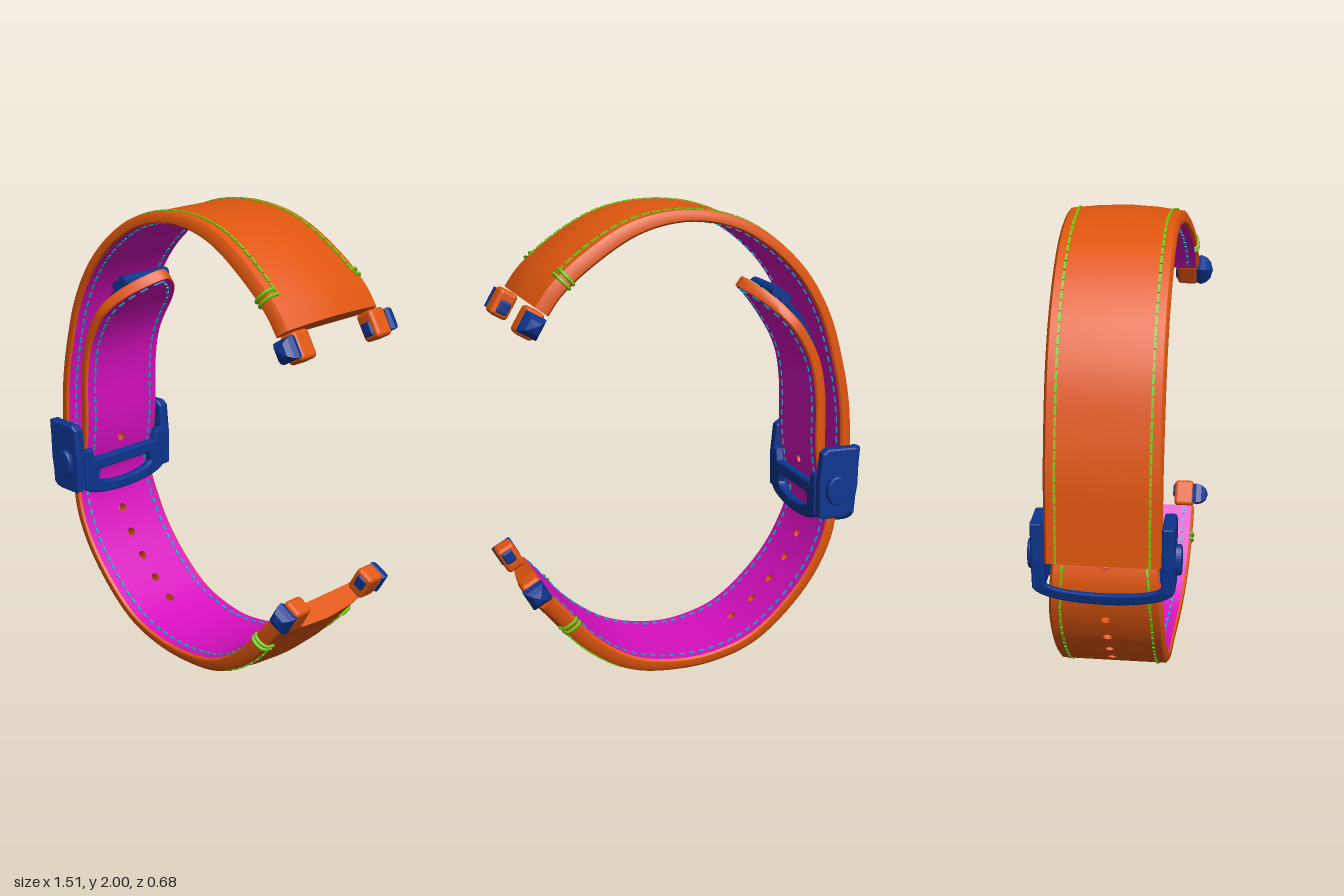
import * as THREE from 'three';
import { mergeGeometries, toCreasedNormals } from 'three/addons/utils/BufferGeometryUtils.js';
import { RoundedBoxGeometry } from 'three/addons/geometries/RoundedBoxGeometry.js';

const mat = (color, extra = {}) => new THREE.MeshStandardMaterial({ color, side: THREE.DoubleSide, ...extra });
const leather = mat(0xe0560e), lining = mat(0xd80fc0), metal = mat(0x0c3590);
const metalFlat = mat(0x0c3590, { flatShading: true }), outerThread = mat(0x74c80c), innerThread = mat(0x12a8c8);

const smooth = THREE.MathUtils.smoothstep;
const HOLE = 0.02;

function add(group, name, geometry, material) {
  const mesh = new THREE.Mesh(geometry, material);
  mesh.name = name;
  group.add(mesh);
  return mesh;
}

function makeCurve(points) {
  return new THREE.CatmullRomCurve3(points.map(([x, y]) => new THREE.Vector3(x, y, 0)), false, 'centripetal');
}

// A padded band that follows its inner line; the thickness grows outward
function makeStrap(name, points, { pointed = false, holes = [] }) {
  const group = new THREE.Group();
  group.name = name;
  const curve = makeCurve(points);
  const length = curve.getLength();

  const halfWidth = (u) => {
    const p = curve.getPointAt(u);
    let w = 0.235 + 0.043 * smooth(p.x, -0.05, 0.62);
    if (pointed) {
      const s = u * length;
      w -= 0.022 * (1 - smooth(s, 0.9, 1.3));
      if (s < 0.27) w *= 0.1 + 0.9 * (1 - Math.pow(1 - s / 0.27, 1.9));
    }
    return w;
  };
  // z is across the band, level 0 is the lining and 1 the outer face
  const at = (u, z, level, lift = 0) => {
    u = Math.min(1, Math.max(0, u));
    const p = curve.getPointAt(u), t = curve.getTangentAt(u), w = halfWidth(u);
    const pad = smooth(p.x, -0.05, 0.4);
    const h = 0.047 + 0.015 * pad + 0.033 * pad * Math.max(0, 1 - (z / w) ** 2);
    const d = level * h + lift;
    return new THREE.Vector3(p.x + t.y * d, p.y - t.x * d, z);
  };

  // Columns along the band, with three special ones at each hole
  const r = HOLE / length;
  const cols = [];
  for (let i = 0; i <= 100; i++) {
    if (!holes.some((c) => Math.abs(c - i / 100) < r * 1.3)) cols.push({ u: i / 100 });
  }
  for (const c of holes) for (const d of [-1, 0, 1]) cols.push({ u: c + d * r, c, d });
  cols.sort((a, b) => a.u - b.u);

  const sheet = (rows, capped) => {
    const pos = [], index = [], n = rows.length;
    for (const col of cols) {
      for (const [v, level] of rows) {
        let u = col.u, z = v * halfWidth(u);
        if (Math.abs(v) === 0.1) {
          z = Math.sign(v) * Math.min(HOLE, 0.3 * halfWidth(u));
          if (col.d) { u = col.c + col.d * r * 0.707; z *= 0.707; }
        }
        pos.push(...at(u, z, level).toArray());
      }
    }
    for (let i = 0; i < cols.length - 1; i++) {
      const open = cols[i].c !== undefined && cols[i].c === cols[i + 1].c;
      for (let k = 0; k < n - 1; k++) {
        if (open && Math.abs(rows[k][0] + rows[k + 1][0]) < 0.15) continue;
        const a = i * n + k, b = a + 1, c = a + n, d = c + 1;
        if (capped) index.push(a, c, b, b, c, d);
        else index.push(a, b, c, b, d, c);
      }
    }
    if (capped) for (const o of [0, (cols.length - 1) * n]) {
      for (let k = 0; k < (n - 1) / 2; k++) {
        const a = o + k, b = o + k + 1, c = o + n - 2 - k, d = o + n - 1 - k;
        index.push(a, b, c, a, c, d);
      }
    }
    const g = new THREE.BufferGeometry();
    g.setAttribute('position', new THREE.Float32BufferAttribute(pos, 3));
    g.setIndex(index);
    return toCreasedNormals(g, 0.7);
  };
  const half = [[-0.96, 0], [-1, 0.15], [-1, 0.7], [-0.95, 1], [-0.5, 1], [-0.1, 1]];
  const mirrored = half.map(([v, l]) => [-v, l]).reverse();
  add(group, 'leather', sheet([...half, [0, 1], ...mirrored], true), leather);
  add(group, 'lining', sheet([-0.96, -0.5, -0.1, 0, 0.1, 0.5, 0.96].map((v) => [v, 0]), false), lining);

  // Walls of the punched holes
  for (const c of holes) {
    const a = at(c, 0, 0), b = at(c, 0, 1);
    const wall = add(group, 'holeWall', new THREE.CylinderGeometry(HOLE, HOLE, a.distanceTo(b), 8, 1, true), leather);
    wall.position.copy(a).lerp(b, 0.5);
    wall.quaternion.setFromUnitVectors(new THREE.Vector3(0, 1, 0), b.sub(a).normalize());
  }

  // Rows of stitches along both edges
  const lugAtStart = !pointed;
  const stitches = (label, level, dash, pitch, from, to, material) => {
    const parts = [], dummy = new THREE.Object3D();
    for (let s = from; s + dash < to; s += pitch) for (const side of [-1, 1]) {
      const u0 = s / length, u1 = (s + dash) / length;
      const edge = (u) => side * Math.max(0, halfWidth(u) - 0.047);
      const a = at(u0, edge(u0), level), b = at(u1, edge(u1), level);
      dummy.position.copy(a).lerp(b, 0.5);
      dummy.lookAt(b);
      dummy.updateMatrix();
      parts.push(new THREE.BoxGeometry(0.01, 0.01, a.distanceTo(b)).applyMatrix4(dummy.matrix));
    }
    add(group, label, mergeGeometries(parts), material);
  };
  const lugGap = 0.15;
  stitches('outerStitches', 1, 0.035, 0.043, lugAtStart ? lugGap : 0.03, lugAtStart ? length : length - lugGap, outerThread);
  stitches('innerStitches', 0, 0.026, 0.046, 0.02, length - 0.01, innerThread);

  // Double stitch wrapped around each edge near the lugs
  for (const s of [lugGap - 0.012, lugGap + 0.012]) for (const side of [-1, 1]) {
    const u = lugAtStart ? s / length : 1 - s / length, w = halfWidth(u);
    const loop = [[w - 0.05, 1, 0.003], [w - 0.015, 1, 0.003], [w + 0.002, 0.7, 0], [w + 0.002, 0.1, 0], [w - 0.012, 0, -0.002]]
      .map(([z, l, lift]) => at(u, side * z, l, lift));
    add(group, 'edgeStitch', new THREE.TubeGeometry(new THREE.CatmullRomCurve3(loop), 12, 0.008, 6), outerThread);
  }
  return group;
}

// Hooked lugs with four-sided studs
function makeLugs(name, x, y, angle) {
  const group = new THREE.Group();
  group.name = name;
  group.position.set(x, y, 0);
  group.rotation.z = angle;
  const profile = [[0.058, 0], [0.066, 0.018], [0.057, 0.042], [0.036, 0.062], [0, 0.072]].map(([a, b]) => new THREE.Vector2(a, b));
  for (const side of [-1, 1]) {
    add(group, 'lug', new RoundedBoxGeometry(0.12, 0.085, 0.092, 3, 0.018), leather).position.z = side * 0.227;
    add(group, 'lugPin', new RoundedBoxGeometry(0.06, 0.05, 0.1, 2, 0.01), metal).position.set(0.012, -0.004, side * 0.223);
    const stud = new THREE.LatheGeometry(profile, 4).rotateY(Math.PI / 4).rotateX(side * Math.PI / 2);
    add(group, 'stud', stud, metalFlat).position.z = side * 0.268;
  }
  return group;
}

const polygon = (pts) => new THREE.Shape(pts.map(([a, b]) => new THREE.Vector2(a, b)));

function plate(shape, depth, bevel) {
  return new THREE.ExtrudeGeometry(shape, {
    depth: depth - 2 * bevel, bevelSize: bevel, bevelThickness: bevel, bevelOffset: -bevel, bevelSegments: 2, curveSegments: 16,
  }).translate(0, 0, bevel - depth / 2);
}

function makeBuckle() {
  const group = new THREE.Group();
  group.name = 'buckle';
  const cheek = polygon([[-0.752, 0.955], [-0.605, 0.955], [-0.578, 0.935], [-0.565, 0.8], [-0.567, 0.65], [-0.585, 0.64], [-0.69, 0.64], [-0.73, 0.68], [-0.747, 0.78]]);
  const barrel = (x, y, r, len) => {
    const m = add(group, 'crossPin', new THREE.CylinderGeometry(r, r, len, 16).rotateX(Math.PI / 2), metal);
    m.position.set(x, y, 0);
  };
  for (const side of [-1, 1]) {
    add(group, 'cheek', plate(cheek, 0.05, 0.01), metal).position.z = side * 0.261;
    const button = add(group, 'pushButton', plate(new THREE.Shape().absellipse(0, 0, 0.046, 0.066, 0, Math.PI * 2), 0.04, 0.009), metal);
    button.position.set(-0.64, 0.77, side * 0.29);
  }

  // Outer U-shaped frame, its foot curling inward
  const outer = polygon([[-0.285, 0.955], [-0.285, 0.66]]);
  outer.bezierCurveTo(-0.25, 0.555, 0.25, 0.555, 0.285, 0.66);
  outer.lineTo(0.285, 0.955);
  outer.lineTo(0.238, 0.955);
  outer.lineTo(0.232, 0.68);
  outer.bezierCurveTo(0.2, 0.62, -0.2, 0.62, -0.232, 0.68);
  outer.lineTo(-0.238, 0.955);
  const outerGeometry = plate(outer, 0.03, 0.008).rotateY(-Math.PI / 2).translate(-0.74, 0, 0);
  const p = outerGeometry.attributes.position;
  for (let i = 0; i < p.count; i++) p.setX(i, p.getX(i) + 0.05 * (Math.max(0, 0.82 - p.getY(i)) / 0.24) ** 2);
  outerGeometry.computeVertexNormals();
  add(group, 'outerFrame', outerGeometry, metal);

  // Inner frame with a slot
  const inner = polygon([[-0.24, 0.835], [-0.24, 0.65]]);
  inner.bezierCurveTo(-0.18, 0.585, 0.18, 0.585, 0.24, 0.65);
  for (const [a, b] of [[0.24, 0.835], [0.195, 0.835], [0.18, 0.785], [-0.18, 0.785], [-0.195, 0.835]]) inner.lineTo(a, b);
  const slot = new THREE.Path([[-0.16, 0.69], [-0.15, 0.728], [0.15, 0.728], [0.16, 0.69]].map((q) => new THREE.Vector2(...q)));
  slot.bezierCurveTo(0.13, 0.64, -0.13, 0.64, -0.16, 0.69);
  inner.holes.push(slot);
  add(group, 'innerFrame', plate(inner, 0.04, 0.01).rotateY(-Math.PI / 2).translate(-0.58, 0, 0), metal);
  barrel(-0.7, 0.79, 0.025, 0.5);

  // Folding blade between the two bands, with a rounded catch at its tip
  const curve = makeCurve([[-0.65, 0.8], [-0.637, 0.95], [-0.635, 1.15], [-0.6, 1.35], [-0.53, 1.5], [-0.44, 1.6]]);
  const front = [], back = [];
  for (let i = 0; i <= 32; i++) {
    const c = curve.getPointAt(i / 32), t = curve.getTangentAt(i / 32);
    front.push([c.x + t.y * 0.011, c.y - t.x * 0.011]);
    back.unshift([c.x - t.y * 0.011, c.y + t.x * 0.011]);
  }
  add(group, 'foldingBlade', plate(polygon([...front, ...back]), 0.24, 0.003), metal);
  barrel(-0.455, 1.595, 0.026, 0.26);
  barrel(-0.42, 1.622, 0.025, 0.26);
  return group;
}

export function createModel() {
  const model = new THREE.Group();
  model.name = 'watchStrap';
  model.add(makeStrap('upperBand', [
    [0.615, 1.605], [0.56, 1.68], [0.43, 1.79], [0.22, 1.91], [0.01, 1.948], [-0.18, 1.915], [-0.32, 1.84], [-0.47, 1.7],
    [-0.575, 1.525], [-0.64, 1.315], [-0.675, 1.13], [-0.685, 0.945], [-0.69, 0.77],
  ], {}));
  model.add(makeStrap('lowerBand', [
    [-0.285, 1.635], [-0.37, 1.57], [-0.465, 1.465], [-0.545, 1.315], [-0.573, 1.155], [-0.577, 0.945], [-0.595, 0.8],
    [-0.63, 0.64], [-0.575, 0.465], [-0.465, 0.3], [-0.28, 0.135], [-0.12, 0.075], [0.035, 0.06], [0.245, 0.1],
    [0.43, 0.22], [0.56, 0.365], [0.615, 0.425],
  ], { pointed: true, holes: Array.from({ length: 8 }, (_, i) => 0.323 + i * 0.0435) }));
  model.add(makeLugs('upperLugs', 0.69, 1.578, -Math.PI / 3));
  model.add(makeLugs('lowerLugs', 0.69, 0.453, Math.PI / 3));
  model.add(makeBuckle());
  return model;
}
